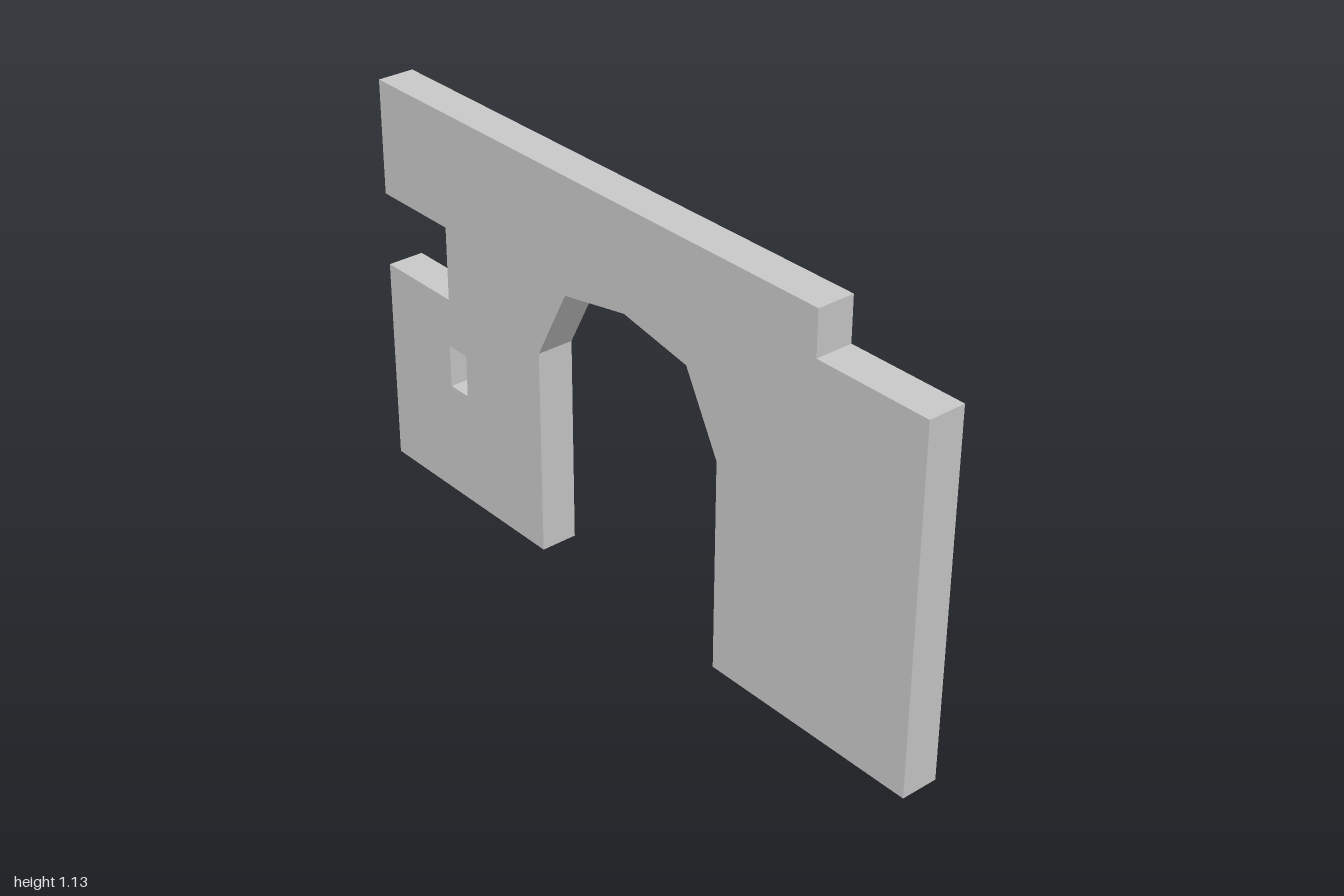
import * as THREE from 'three';

const DEPTH = 0.106;

const points = (list) => list.map(([x, y]) => new THREE.Vector2(x, y));

export function createModel() {
  const group = new THREE.Group();
  group.name = 'ruinedArchWall';

  // Half of the faceted arch, from the right foot up to the crown
  const archHalf = [[0.34, 0], [0.34, 0.597], [0.228, 0.808]];
  const arch = [
    ...archHalf.map(([x, y]) => [-x, y]),
    [0, 0.851],
    ...archHalf.slice().reverse(),
  ];

  // Wall outline: arch, stepped top corner and the slot broken into one side
  const outline = new THREE.Shape(points([
    [-1, 0],
    ...arch,
    [1, 0], [1, 1.01],
    [0.658, 1.01], [0.658, 1.134],
    [-1, 1.134], [-1, 0.807],
    [-0.728, 0.807], [-0.728, 0.595],
    [-1, 0.595],
  ]));

  // Small window slit
  outline.holes.push(new THREE.Path(points([
    [-0.733, 0.33], [-0.733, 0.453], [-0.66, 0.453], [-0.66, 0.33],
  ])));

  const geometry = new THREE.ExtrudeGeometry(outline, { depth: DEPTH, bevelEnabled: false });
  geometry.translate(0, 0, -DEPTH / 2);

  const wall = new THREE.Mesh(geometry, new THREE.MeshStandardMaterial({ color: 0xcccccc }));
  wall.name = 'archWall';
  group.add(wall);
  return group;
}
